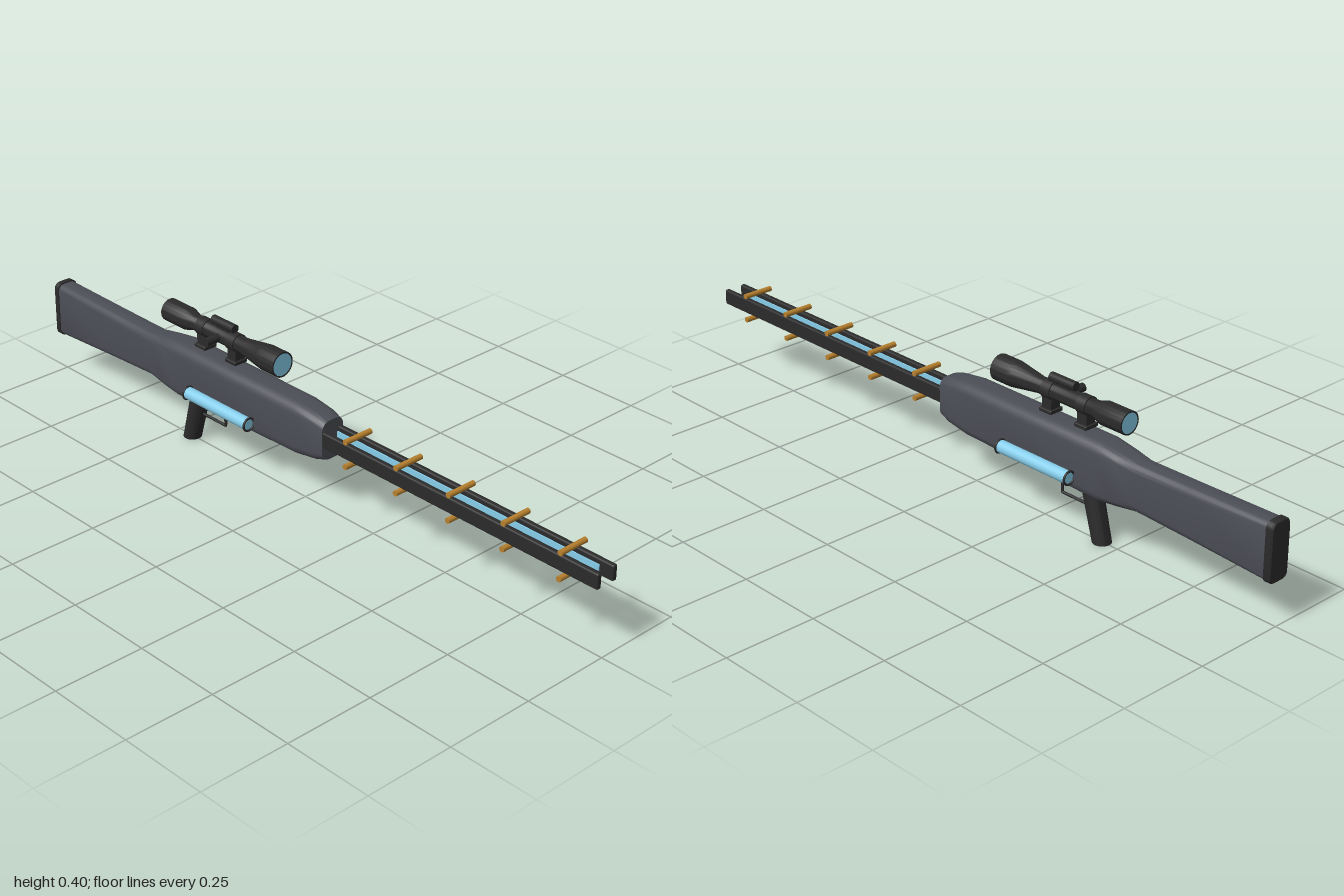
import * as THREE from 'three';
import { toCreasedNormals } from 'three/addons/utils/BufferGeometryUtils.js';
import { RoundedBoxGeometry } from 'three/addons/geometries/RoundedBoxGeometry.js';

const paint = (color) => new THREE.MeshStandardMaterial({ color });

// Rounded-rectangle outline, counter-clockwise seen from +z
function outline(hw, y0, y1, r, steps = 6) {
  const pts = [];
  const corners = [[hw - r, y1 - r], [r - hw, y1 - r], [r - hw, y0 + r], [hw - r, y0 + r]];
  corners.forEach(([cx, cy], q) => {
    for (let i = 0; i <= steps; i++) {
      const a = (q + i / steps) * Math.PI / 2;
      pts.push([cx + r * Math.cos(a), cy + r * Math.sin(a)]);
    }
  });
  return pts;
}

// Capped loft through stations [z, halfWidth, yBottom, yTop, cornerRadius], front to back
function loft(stations) {
  const pos = [], index = [];
  let n = 0;
  for (const [z, hw, y0, y1, r] of stations) {
    const ring = outline(hw, y0, y1, r);
    n = ring.length;
    ring.forEach(([x, y]) => pos.push(x, y, z));
  }
  for (let s = 0; s < stations.length - 1; s++) {
    for (let i = 0; i < n; i++) {
      const a = s * n + i, b = s * n + (i + 1) % n, c = a + n, d = b + n;
      index.push(a, c, b, b, c, d);
    }
  }
  const last = (stations.length - 1) * n;
  for (let i = 1; i < n - 1; i++) {
    index.push(0, i, i + 1, last, last + i + 1, last + i);
  }
  const g = new THREE.BufferGeometry();
  g.setAttribute('position', new THREE.Float32BufferAttribute(pos, 3));
  g.setIndex(index);
  return toCreasedNormals(g, 0.5);
}

export function createModel() {
  const model = new THREE.Group();
  const grey = paint(0x4c4e56), dark = paint(0x2b2b2b);
  const blue = paint(0x87ceeb), brass = paint(0xb8812e);

  function add(name, geometry, material, x = 0, y = 0, z = 0) {
    const mesh = new THREE.Mesh(geometry, material);
    mesh.name = name;
    mesh.position.set(x, y, z);
    model.add(mesh);
    return mesh;
  }
  const rodX = (r, len) => new THREE.CylinderGeometry(r, r, len, 20).rotateZ(Math.PI / 2);
  const rodZ = (r, len) => new THREE.CylinderGeometry(r, r, len, 32).rotateX(Math.PI / 2);

  // Receiver and shoulder stock in one smooth loft
  add('body', loft([
    [0.10, 0.036, 0.157, 0.267, 0.024],
    [0.07, 0.041, 0.148, 0.276, 0.026],
    [0.00, 0.045, 0.138, 0.284, 0.028],
    [-0.25, 0.046, 0.132, 0.284, 0.028],
    [-0.46, 0.046, 0.127, 0.284, 0.028],
    [-0.52, 0.042, 0.133, 0.276, 0.026],
    [-0.58, 0.034, 0.140, 0.267, 0.022],
    [-0.75, 0.032, 0.132, 0.269, 0.020],
    [-0.982, 0.030, 0.119, 0.273, 0.018],
  ]), grey);
  add('buttPad', loft([
    [-0.98, 0.032, 0.117, 0.276, 0.018],
    [-0.996, 0.032, 0.117, 0.276, 0.018],
    [-1.0, 0.029, 0.120, 0.273, 0.016],
  ]), dark);

  // Twin rails with glowing inner strips
  for (const s of [-1, 1]) {
    add('rail', new RoundedBoxGeometry(0.015, 0.043, 0.95, 3, 0.005), dark, s * 0.027, 0.2185, 0.525);
    add('railStrip', new THREE.BoxGeometry(0.004, 0.016, 0.89), blue, s * 0.018, 0.218, 0.515);
  }

  // Cross pins above and below the rails
  for (let i = 0; i < 5; i++) {
    for (const y of [0.253, 0.183]) {
      add('crossPin', rodX(0.0075, 0.088), brass, 0, y, 0.19 + i * 0.176);
    }
  }

  // Energy cells on both sides, with a collar at each end
  for (const s of [-1, 1]) {
    add('energyCell', rodZ(0.017, 0.238), blue, s * 0.06, 0.174, -0.27);
    for (const z of [-0.15, -0.39]) {
      add('cellCollar', new THREE.TorusGeometry(0.0175, 0.003, 10, 32), dark, s * 0.06, 0.174, z);
    }
  }

  // Raked pistol grip: an upright oval cylinder sheared backwards
  const grip = new THREE.CylinderGeometry(0.027, 0.025, 0.15, 32);
  const p = grip.attributes.position;
  for (let i = 0; i < p.count; i++) {
    const y = p.getY(i) + 0.075;
    p.setXYZ(i, p.getX(i), y, p.getZ(i) - 0.448 + y * 0.27);
  }
  grip.computeVertexNormals();
  add('grip', toCreasedNormals(grip, 0.6), dark);

  // Trigger guard
  const guard = new THREE.CurvePath();
  const gp = [[0.145, -0.31], [0.085, -0.31], [0.085, -0.41]].map(([y, z]) => new THREE.Vector3(0, y, z));
  guard.add(new THREE.LineCurve3(gp[0], gp[1]));
  guard.add(new THREE.LineCurve3(gp[1], gp[2]));
  add('triggerGuard', new THREE.TubeGeometry(guard, 32, 0.004, 8), dark);

  // Scope tube, turned around the z axis; profile is [radius, z] from back to front
  const scopeProfile = [
    [0, -0.522], [0.027, -0.522], [0.027, -0.528], [0.031, -0.528], [0.031, -0.45], [0.022, -0.42],
    [0.022, -0.23], [0.033, -0.155], [0.035, -0.14], [0.035, -0.085],
    [0.031, -0.085], [0.031, -0.092], [0, -0.092],
  ].map(([r, z]) => new THREE.Vector2(r, z));
  add('scopeTube', toCreasedNormals(new THREE.LatheGeometry(scopeProfile, 40).rotateX(Math.PI / 2), 0.5), dark, 0, 0.35, 0);
  add('frontLens', rodZ(0.0315, 0.006), blue, 0, 0.35, -0.089);
  add('rearLens', rodZ(0.0275, 0.006), blue, 0, 0.35, -0.5245);

  // Scope knobs
  add('topKnob', rodZ(0.012, 0.084), dark, 0, 0.385, -0.308);
  add('topKnobBase', new THREE.BoxGeometry(0.016, 0.025, 0.05), dark, 0, 0.372, -0.308);
  add('sideKnob', rodX(0.0115, 0.05), dark, -0.038, 0.351, -0.312);

  // Scope mounts
  for (const z of [-0.265, -0.385]) {
    add('mountFoot', new RoundedBoxGeometry(0.043, 0.011, 0.042, 2, 0.003), dark, 0, 0.2975, z);
    add('mountPost', new THREE.BoxGeometry(0.03, 0.036, 0.032), dark, 0, 0.319, z);
    add('mountRing', rodZ(0.025, 0.03), dark, 0, 0.35, z);
  }

  return model;
}
